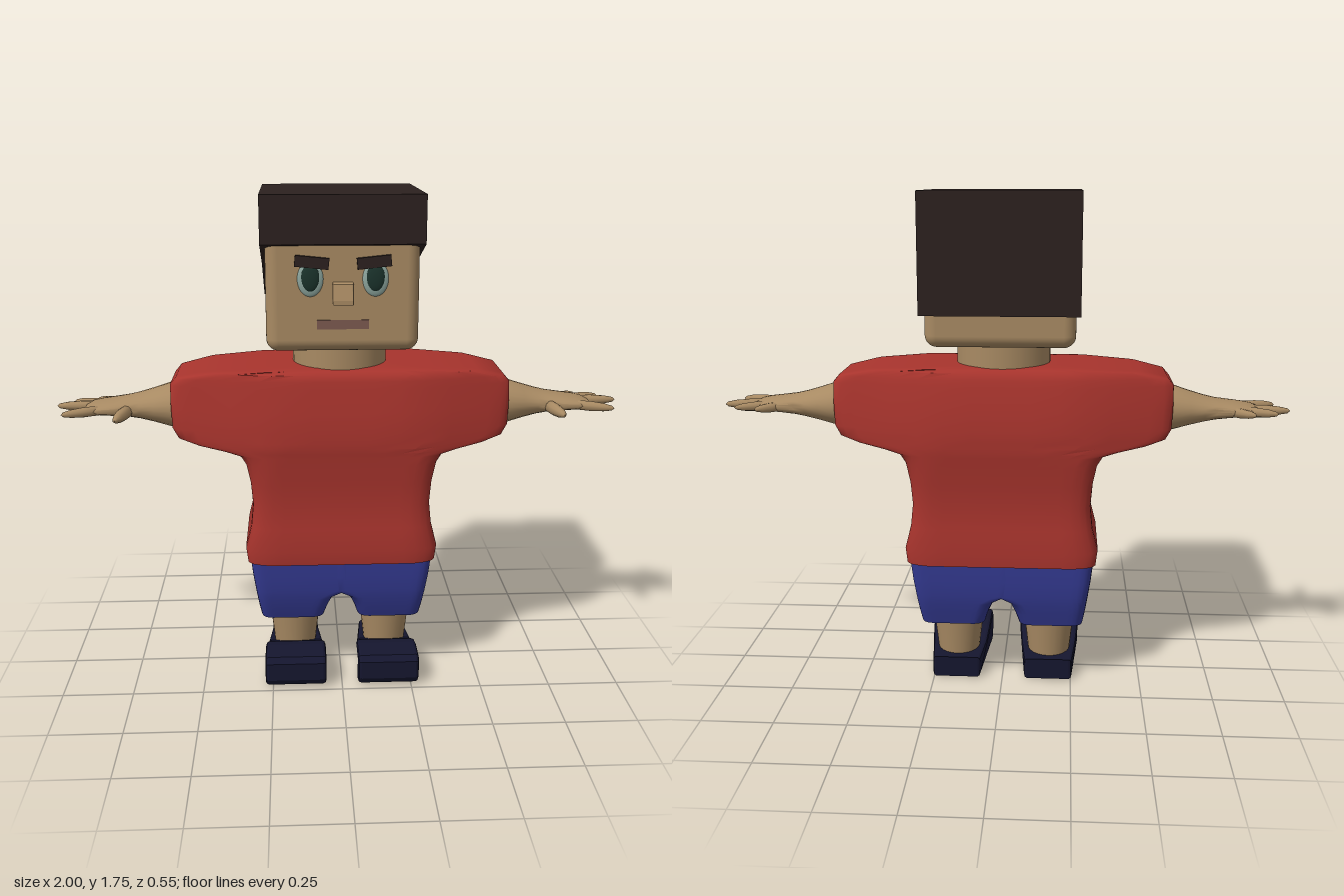
import * as THREE from 'three';
import { toCreasedNormals } from 'three/addons/utils/BufferGeometryUtils.js';
import { RoundedBoxGeometry } from 'three/addons/geometries/RoundedBoxGeometry.js';

const paint = (color) => new THREE.MeshStandardMaterial({ color });
const skin = paint(0xa88a63), red = paint(0xa8342d), blue = paint(0x343a92), hairMat = paint(0x2c211f);
const shoeMat = paint(0x15162f), eyeMat = paint(0x8fa8a0), irisMat = paint(0x1b332c), mouthMat = paint(0x7c5a50);

// Closed rounded-rectangle ring at height y
function rectRing(y, x0, x1, z0, z1, r, n = 18) {
  const a = (x1 - x0) / 2, b = (z1 - z0) / 2, cx = (x0 + x1) / 2, cz = (z0 + z1) / 2;
  const pts = [];
  for (let side = 0; side < 4; side++) for (let i = 0; i < n; i++) {
    const t = Math.sin(Math.PI / 2 * (2 * i / n - 1));
    const [u, v] = [[1, t], [-t, 1], [-1, -t], [t, -1]][side];
    const qx = u * a, qz = v * b;
    const ix = THREE.MathUtils.clamp(qx, r - a, a - r), iz = THREE.MathUtils.clamp(qz, r - b, b - r);
    const k = r / Math.max(Math.hypot(qx - ix, qz - iz), r);
    pts.push(new THREE.Vector3(cx + ix + (qx - ix) * k, y, cz + iz + (qz - iz) * k));
  }
  return pts;
}

// Closed elliptical ring at height y
function ovalRing(y, cx, cz, rx, rz, n = 24) {
  return Array.from({ length: n }, (_, i) => {
    const t = i / n * Math.PI * 2;
    return new THREE.Vector3(cx + Math.cos(t) * rx, y, cz + Math.sin(t) * rz);
  });
}

// Skin a stack of rings, capped at both ends
function loft(rings, crease = 0.7) {
  const n = rings[0].length, last = (rings.length - 1) * n, pos = [], index = [];
  rings.forEach((ring) => ring.forEach((p) => pos.push(p.x, p.y, p.z)));
  for (let i = 0; i < rings.length - 1; i++) for (let j = 0; j < n; j++) {
    const a = i * n + j, b = i * n + (j + 1) % n;
    index.push(a, a + n, b, b, a + n, b + n);
  }
  const low = rings.length * n;
  for (const ring of [rings[0], rings[rings.length - 1]]) {
    const c = ring.reduce((s, p) => s.add(p), new THREE.Vector3()).divideScalar(n);
    pos.push(c.x, c.y, c.z);
  }
  for (let j = 0; j < n; j++) {
    const k = (j + 1) % n;
    index.push(low, j, k, low + 1, last + k, last + j);
  }
  const geo = new THREE.BufferGeometry();
  geo.setAttribute('position', new THREE.Float32BufferAttribute(pos, 3));
  geo.setIndex(index);
  return toCreasedNormals(geo, crease);
}

// Extrude a (z, y) side profile across x
function sideExtrude(points, width, bevel = 0) {
  const shape = new THREE.Shape(points.map(([z, y]) => new THREE.Vector2(z, y)));
  const geo = new THREE.ExtrudeGeometry(shape, {
    depth: width - 2 * bevel, bevelEnabled: bevel > 0, bevelSize: bevel, bevelThickness: bevel,
    bevelOffset: -bevel, bevelSegments: 2,
  });
  geo.translate(0, 0, bevel - width / 2);
  return geo.rotateY(-Math.PI / 2);
}

// Mirror a geometry across x = 0, keeping faces outward
function mirrored(source) {
  const geo = source.index ? source.toNonIndexed() : source.clone();
  geo.scale(-1, 1, 1);
  for (const attr of Object.values(geo.attributes)) {
    const s = attr.itemSize, d = attr.array;
    for (let i = 0; i < attr.count; i += 3) for (let k = 0; k < s; k++) {
      const a = i * s + k, b = (i + 2) * s + k;
      [d[a], d[b]] = [d[b], d[a]];
    }
  }
  return geo;
}

// Tapered finger with a rounded tip
function finger(from, to, r) {
  const a = new THREE.Vector3(...from), dir = new THREE.Vector3(...to).sub(a), len = dir.length();
  const profile = [[0, 0], [r, 0], [r * 1.05, 0.45], [r * 0.85, 0.75], [r * 0.5, 0.94], [0, 1]];
  const geo = new THREE.LatheGeometry(profile.map(([x, y]) => new THREE.Vector2(x, y * len)), 10);
  geo.applyQuaternion(new THREE.Quaternion().setFromUnitVectors(new THREE.Vector3(0, 1, 0), dir.normalize()));
  return geo.translate(a.x, a.y, a.z);
}

export function createModel() {
  const model = new THREE.Group();
  const add = (name, geo, mat) => {
    const mesh = new THREE.Mesh(geo, mat);
    mesh.name = name;
    model.add(mesh);
    return mesh;
  };
  const pair = (name, geo, mat) => {
    add('left' + name, geo, mat);
    add('right' + name, mirrored(geo), mat);
  };

  // Shirt: rows of y, half width, back z, front z; sleeves thin out with distance from the centre
  const shirtRows = [
    [0.46, 0.31, -0.2, 0.18], [0.468, 0.332, -0.228, 0.205], [0.52, 0.338, -0.23, 0.21], [0.6, 0.318, -0.22, 0.198],
    [0.68, 0.31, -0.215, 0.192], [0.76, 0.316, -0.222, 0.196], [0.83, 0.33, -0.23, 0.203], [0.862, 0.35, -0.234, 0.206],
    [0.878, 0.41, -0.236, 0.208], [0.895, 0.5, -0.236, 0.21], [0.915, 0.562, -0.237, 0.21], [0.95, 0.582, -0.237, 0.21],
    [1.02, 0.586, -0.228, 0.203], [1.1, 0.586, -0.215, 0.19], [1.125, 0.565, -0.208, 0.186], [1.147, 0.47, -0.2, 0.18],
    [1.157, 0.32, -0.185, 0.165], [1.161, 0.2, -0.15, 0.13],
  ];
  const shirt = shirtRows.map(([y, w, z0, z1]) => rectRing(y, -w, w, z0, z1, 0.04));
  shirt.flat().forEach((p) => {
    const t = THREE.MathUtils.clamp((Math.abs(p.x) - 0.25) / 0.335, 0, 1);
    p.z = -0.015 + (p.z + 0.015) * (1 - 0.37 * t);
  });
  add('shirt', loft(shirt, 0.9), red);

  // Shorts: rows of y, inner x, outer x, back z, front z
  const shortRows = [
    [0.217, 0.08, 0.27, -0.14, 0.1], [0.225, 0.062, 0.289, -0.158, 0.122], [0.27, 0.048, 0.297, -0.172, 0.14],
    [0.31, 0.03, 0.303, -0.184, 0.152], [0.33, -0.01, 0.306, -0.188, 0.157], [0.345, -0.05, 0.308, -0.191, 0.16],
    [0.4, -0.06, 0.316, -0.197, 0.168], [0.48, -0.06, 0.325, -0.2, 0.172],
  ];
  pair('ShortsLeg', loft(shortRows.map(([y, a, b, c, d]) => rectRing(y, a, b, c, d, 0.04))), blue);

  // Legs and shoes
  pair('Leg', new THREE.CylinderGeometry(0.1, 0.075, 0.22, 24).translate(0.168, 0.17, -0.008), skin);
  const shoe = sideExtrude([[-0.13, 0.004], [0.19, 0], [0.225, 0.01], [0.242, 0.035], [0.242, 0.1], [0.225, 0.12],
    [0.13, 0.12], [0.09, 0.112], [0.02, 0.08], [-0.115, 0.072], [-0.13, 0.08]], 0.22, 0.012);
  const sp = shoe.attributes.position;
  for (let i = 0; i < sp.count; i++) {
    sp.setX(i, sp.getX(i) * (1 - 0.22 * THREE.MathUtils.clamp((0.1 - sp.getZ(i)) / 0.23, 0, 1)));
  }
  shoe.computeVertexNormals();
  pair('Shoe', shoe.translate(0.167, 0, 0), shoeMat);

  // Arms: rows of x, centre z, half height, half depth
  const armRows = [
    [0.52, -0.015, 0.085, 0.115], [0.585, -0.015, 0.08, 0.108], [0.65, -0.017, 0.06, 0.09], [0.7, -0.018, 0.046, 0.08],
    [0.74, -0.016, 0.037, 0.077], [0.79, -0.012, 0.03, 0.082], [0.84, -0.01, 0.024, 0.08], [0.87, -0.008, 0.018, 0.072],
    [0.89, -0.006, 0.01, 0.06],
  ];
  const arm = loft(armRows.map(([x, z, h, d]) => ovalRing(x, (x - 0.55) * 0.02 - 0.004, z, h, d)), 1);
  arm.rotateZ(-Math.PI / 2).translate(0, 1, 0);
  pair('Arm', arm, skin);

  // Hands
  const fingers = [
    ['Thumb', [0.74, 0.995, 0.03], [0.77, 0.992, 0.16], 0.021],
    ['IndexFinger', [0.83, 0.998, 0.04], [0.965, 0.994, 0.085], 0.017],
    ['MiddleFinger', [0.84, 0.998, 0.015], [0.99, 0.995, 0.025], 0.017],
    ['RingFinger', [0.84, 0.998, -0.022], [1.0, 0.996, -0.03], 0.017],
    ['LittleFinger', [0.82, 0.998, -0.05], [0.95, 0.996, -0.09], 0.016],
    ['OuterFinger', [0.78, 0.998, -0.06], [0.87, 0.996, -0.12], 0.016],
  ];
  fingers.filter((f) => f[0] !== 'MiddleFinger').forEach(([name, a, b, r]) => pair(name, finger(a, b, r), skin));

  // Neck, head and hair
  add('neck', new THREE.CylinderGeometry(0.163, 0.163, 0.2, 32).translate(0, 1.18, -0.012), skin);
  add('head', new RoundedBoxGeometry(0.5, 0.48, 0.5, 5, 0.04).translate(0, 1.48, -0.01), skin);
  add('hair', sideExtrude([[0.252, 1.745], [-0.275, 1.745], [-0.275, 1.348], [0, 1.5], [0.252, 1.59]], 0.53), hairMat);

  // Face
  const oval = (x, y, z, rx, ry, rz) => new THREE.SphereGeometry(1, 24, 16).scale(rx, ry, rz).translate(x, y, z);
  pair('Eye', oval(0.105, 1.48, 0.238, 0.043, 0.058, 0.012), eyeMat);
  pair('Iris', oval(0.105, 1.484, 0.244, 0.03, 0.045, 0.01), irisMat);
  pair('Eyebrow', new THREE.BoxGeometry(0.11, 0.036, 0.03).rotateZ(0.1).translate(0.1, 1.534, 0.24), hairMat);
  const nose = sideExtrude([[0.22, 1.4], [0.275, 1.4], [0.275, 1.415], [0.26, 1.465], [0.22, 1.475]], 0.068, 0.004);
  add('nose', nose, skin);
  add('mouth', new THREE.BoxGeometry(0.168, 0.03, 0.02).translate(0, 1.332, 0.234), mouthMat);
  return model;
}
